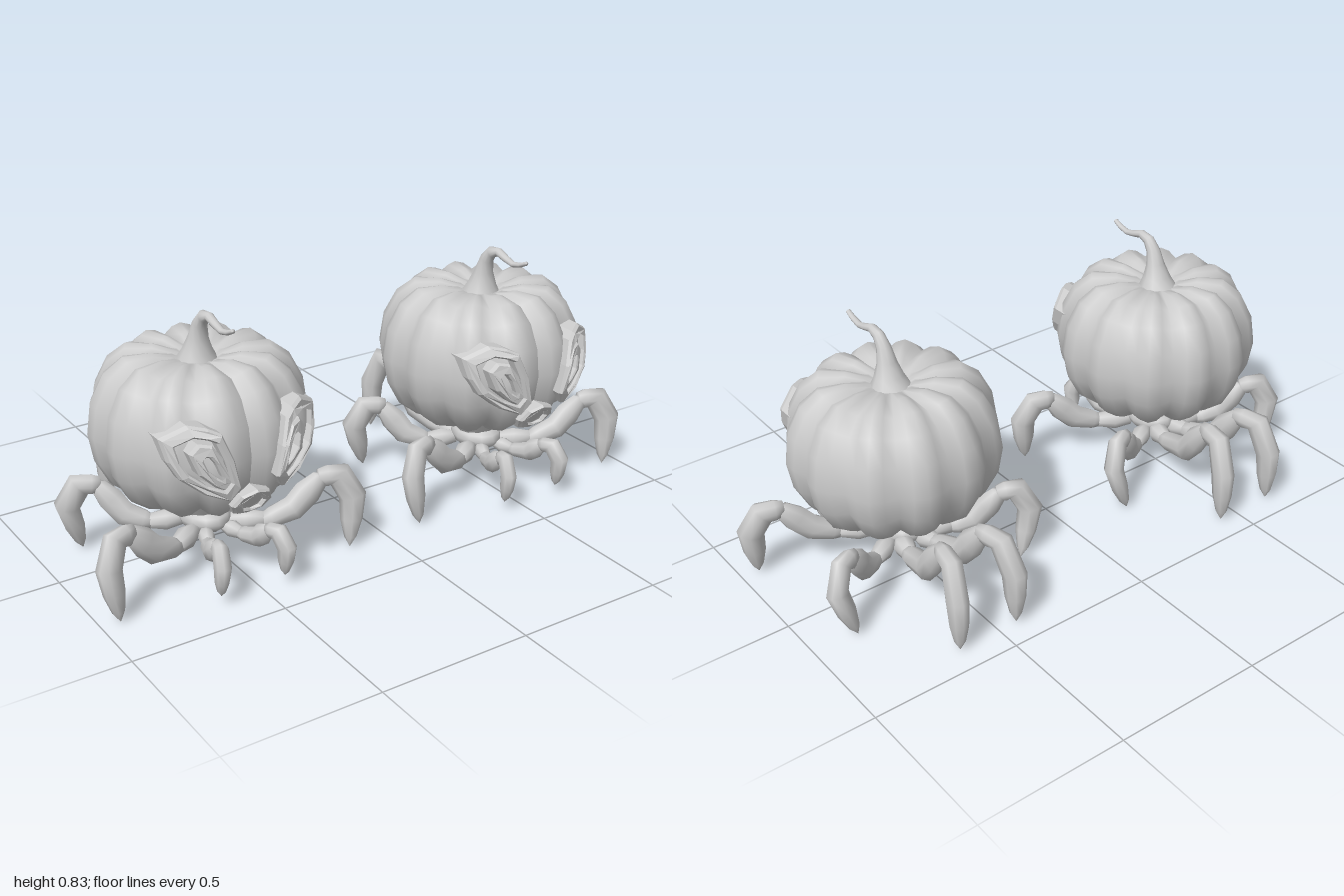
import * as THREE from 'three';

const mat = new THREE.MeshStandardMaterial({ color: 0xcccccc });
const matDouble = new THREE.MeshStandardMaterial({ color: 0xcccccc, side: THREE.DoubleSide });
const CZ = 0.075; // z of the pumpkin axis
const UP = new THREE.Vector3(0, 1, 0);

// Pumpkin profile [radius, y], bottom to top
const PROFILE = [[0, 0.19], [0.12, 0.2], [0.22, 0.24], [0.285, 0.29], [0.327, 0.37], [0.342, 0.46],
  [0.328, 0.56], [0.285, 0.645], [0.225, 0.692], [0.14, 0.695], [0.08, 0.675], [0.05, 0.66], [0, 0.655]];

function add(parent, name, geometry, material = mat) {
  const mesh = new THREE.Mesh(geometry, material);
  mesh.name = name;
  parent.add(mesh);
  return mesh;
}

// Loft through sections [x, y, z, halfWidth, halfHeight]; side is the width direction
function loft(sections, side, sides = 8) {
  const pos = [], index = [];
  const pts = sections.map(s => new THREE.Vector3(s[0], s[1], s[2]));
  const last = pts.length - 1;
  pts.forEach((p, i) => {
    const t = pts[Math.min(i + 1, last)].clone().sub(pts[Math.max(i - 1, 0)]).normalize();
    const s = side.clone().addScaledVector(t, -side.dot(t)).normalize();
    const n = t.clone().cross(s);
    for (let j = 0; j < sides; j++) {
      const a = (j / sides) * Math.PI * 2;
      const v = p.clone().addScaledVector(s, Math.cos(a) * sections[i][3])
        .addScaledVector(n, Math.sin(a) * sections[i][4]);
      pos.push(v.x, v.y, v.z);
      if (i < last) {
        const a0 = i * sides + j, b0 = i * sides + (j + 1) % sides;
        index.push(a0, b0, a0 + sides, b0, b0 + sides, a0 + sides);
      }
    }
  });
  const g = new THREE.BufferGeometry();
  g.setAttribute('position', new THREE.Float32BufferAttribute(pos, 3));
  g.setIndex(index);
  g.computeVertexNormals();
  return g;
}

// Twelve lobes with sharp grooves
function pumpkinGeometry() {
  const g = new THREE.LatheGeometry(PROFILE.map(p => new THREE.Vector2(...p)), 48);
  const p = g.attributes.position;
  for (let i = 0; i < p.count; i++) {
    const x = p.getX(i), y = p.getY(i), z = p.getZ(i);
    const groove = 1 - Math.abs(Math.sin(6 * Math.atan2(x, z)));
    const k = 1 - 0.085 * groove;
    const dip = Math.hypot(x, z) > 0.1 ? 0.1 * groove : 0;
    p.setXYZ(i, x * k, 0.45 + (y - 0.45) * (1 - dip), z * k);
  }
  g.computeVertexNormals();
  return g.translate(0, 0, CZ);
}

// Front surface z of the pumpkin at x, y
function surfaceZ(x, y) {
  const i = Math.max(1, PROFILE.findIndex(p => p[1] >= y));
  const [a, b] = [PROFILE[i - 1], PROFILE[i]];
  const r = a[0] + (b[0] - a[0]) * (y - a[1]) / (b[1] - a[1]);
  return CZ + Math.sqrt(Math.max(0, r * r - x * x));
}

// Ring (or plate when hole is 0) wrapped on the front of the pumpkin
function facePlate(outline, hole, rise, mirror = 1) {
  const pts = outline.map(([x, y]) => new THREE.Vector2(x * mirror, y));
  const c = pts.reduce((s, p) => s.add(p), new THREE.Vector2()).divideScalar(pts.length);
  const shape = new THREE.Shape(pts);
  if (hole) shape.holes.push(new THREE.Path(pts.map(p => p.clone().sub(c).multiplyScalar(hole).add(c))));
  const g = new THREE.ExtrudeGeometry(shape, {
    depth: 0.04 + rise, bevelThickness: 0.01, bevelSize: 0.006, bevelSegments: 1,
  });
  const p = g.attributes.position;
  for (let i = 0; i < p.count; i++) {
    p.setZ(i, p.getZ(i) - 0.05 + surfaceZ(p.getX(i), p.getY(i)));
  }
  g.computeVertexNormals();
  return g;
}

const EYE = [[0.25, 0.55], [0.24, 0.49], [0.215, 0.44], [0.155, 0.39], [0.09, 0.36], [0.065, 0.4],
  [0.085, 0.49], [0.11, 0.565], [0.14, 0.58], [0.185, 0.588]];
const LID = [[0.185, 0.51], [0.165, 0.45], [0.125, 0.41], [0.085, 0.385], [0.085, 0.42], [0.11, 0.49],
  [0.135, 0.53], [0.165, 0.535]];
const octagon = (rx, ry, y) => Array.from({ length: 8 }, (_, i) => {
  const a = (i / 8) * Math.PI * 2;
  return [Math.cos(a) * rx, y + Math.sin(a) * ry];
});

// Legs: hip, thigh start, thigh middle, knee, claw top, claw bulge, foot; then thickness
const LEGS = [
  { name: 'frontLeg', size: 0.75, path: [[0.03, 0.12, 0.14], [0.06, 0.11, 0.21], [0.08, 0.12, 0.27],
    [0.09, 0.165, 0.325], [0.1, 0.175, 0.365], [0.11, 0.13, 0.395], [0.11, 0.03, 0.38]] },
  { name: 'frontSideLeg', size: 1, path: [[0.05, 0.12, 0.12], [0.16, 0.12, 0.19], [0.24, 0.15, 0.22],
    [0.33, 0.245, 0.245], [0.385, 0.245, 0.26], [0.42, 0.17, 0.285], [0.4, 0, 0.3]] },
  { name: 'rearSideLeg', size: 0.95, path: [[0.05, 0.12, 0.04], [0.15, 0.115, -0.01], [0.21, 0.14, -0.05],
    [0.275, 0.24, -0.1], [0.325, 0.245, -0.12], [0.36, 0.17, -0.145], [0.31, 0, -0.16]] },
  { name: 'rearLeg', size: 1, path: [[0.03, 0.12, 0.03], [0.05, 0.12, -0.06], [0.065, 0.15, -0.18],
    [0.075, 0.28, -0.285], [0.09, 0.285, -0.36], [0.105, 0.18, -0.405], [0.105, 0, -0.41]] },
];

function makeLeg({ name, size, path }, mirror) {
  const leg = new THREE.Group();
  leg.name = name;
  const [hip, start, mid, knee, top, bulge, foot] = path.map(p => new THREE.Vector3(p[0] * mirror, p[1], p[2]));
  const side = UP.clone().cross(foot.clone().sub(hip).setY(0)).normalize();
  const at = (a, b, t, w, h = w) => [...a.clone().lerp(b, t).toArray(), w * size, h * size];
  add(leg, 'hipJoint', loft([at(hip, start, 0, 0), at(hip, start, 0.05, 0.022), at(hip, start, 0.5, 0.036),
    at(hip, start, 0.95, 0.026), at(hip, start, 1, 0)], side));
  add(leg, 'thigh', loft([at(start, mid, -0.25, 0), at(start, mid, -0.2, 0.022), at(start, mid, 0.2, 0.034),
    at(mid, knee, 0, 0.036, 0.044), at(mid, knee, 0.5, 0.034, 0.046), at(mid, knee, 0.95, 0.024, 0.03),
    at(mid, knee, 1.08, 0)], side));
  add(leg, 'claw', loft([at(knee, top, -0.25, 0), at(knee, top, -0.2, 0.02, 0.028), at(knee, top, 0.3, 0.03, 0.036),
    at(knee, top, 1, 0.034, 0.043), at(top, bulge, 1, 0.036, 0.044), at(bulge, foot, 0.45, 0.031, 0.036),
    at(bulge, foot, 0.8, 0.019, 0.02), at(bulge, foot, 1, 0)], side));
  return leg;
}

function makeCreature() {
  const g = new THREE.Group();
  g.name = 'pumpkinSpider';
  add(g, 'pumpkin', pumpkinGeometry());

  // Curled stem with a flared base
  add(g, 'stem', loft([[0, 0.65, CZ, 0.07, 0.07], [0, 0.69, 0.08, 0.048, 0.048], [0, 0.735, 0.087, 0.032, 0.03],
    [0, 0.78, 0.1, 0.023, 0.024], [0, 0.81, 0.125, 0.018, 0.02], [0, 0.819, 0.16, 0.015, 0.014],
    [0, 0.806, 0.2, 0.013, 0.011], [0, 0.798, 0.235, 0.011, 0.009], [0, 0.806, 0.27, 0.01, 0.008],
    [0, 0.819, 0.298, 0.008, 0.007], [0, 0.82, 0.302, 0, 0]], new THREE.Vector3(1, 0, 0), 10));

  // Face
  for (const m of [1, -1]) {
    add(g, 'eyeRim', facePlate(EYE, 0.8, 0.035, m), matDouble);
    add(g, 'innerEyeRim', facePlate(LID, 0.6, 0.025, m), matDouble);
  }
  add(g, 'noseRim', facePlate(octagon(0.06, 0.048, 0.315), 0.7, 0.025), matDouble);
  add(g, 'nose', facePlate(octagon(0.036, 0.028, 0.315), 0, 0.01), matDouble);

  // Body under the pumpkin that carries the legs
  const hub = add(g, 'hub', new THREE.SphereGeometry(1, 12, 8));
  hub.scale.set(0.08, 0.05, 0.1);
  hub.position.set(0, 0.14, 0.08);
  add(g, 'neck', new THREE.CylinderGeometry(0.1, 0.06, 0.06, 12)).position.set(0, 0.18, 0.08);
  for (const leg of LEGS) for (const m of [1, -1]) g.add(makeLeg(leg, m));
  return g;
}

export function createModel() {
  const model = new THREE.Group();
  model.name = 'pumpkinSpiders';
  for (const x of [-0.5375, 0.5375]) {
    const creature = makeCreature();
    creature.position.x = x;
    model.add(creature);
  }
  return model;
}
